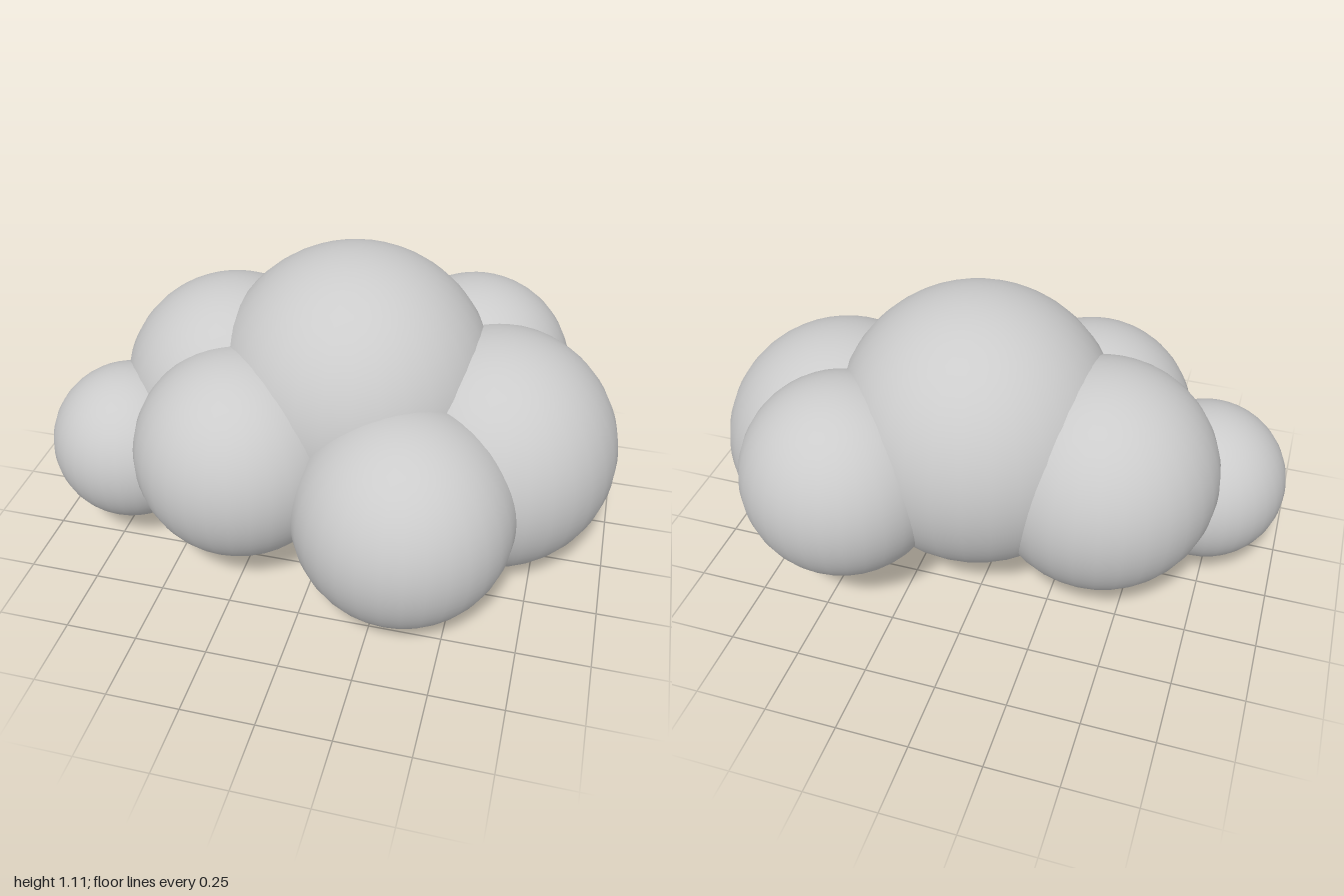
import * as THREE from 'three';

// Each puff of the cloud: name, centre x, y, z and radius
const PUFFS = [
  ['centrePuff', 0.06, 0.615, -0.075, 0.49],
  ['backRightPuff', -0.39, 0.52, -0.105, 0.4],
  ['farRightPuff', -0.717, 0.372, 0.148, 0.283],
  ['frontRightPuff', -0.27, 0.473, 0.245, 0.367],
  ['frontLeftPuff', 0.325, 0.397, 0.355, 0.375],
  ['farLeftPuff', 0.567, 0.43, -0.057, 0.43],
  ['backLeftPuff', 0.44, 0.535, -0.382, 0.35],
];

export function createModel() {
  const cloud = new THREE.Group();
  cloud.name = 'cloud';
  const material = new THREE.MeshStandardMaterial({ color: 0xcccccc });
  const sphere = new THREE.SphereGeometry(1, 32, 32);

  // Overlapping smooth spheres
  for (const [name, x, y, z, radius] of PUFFS) {
    const puff = new THREE.Mesh(sphere, material);
    puff.name = name;
    puff.position.set(x, y, z);
    puff.scale.setScalar(radius);
    cloud.add(puff);
  }
  return cloud;
}
